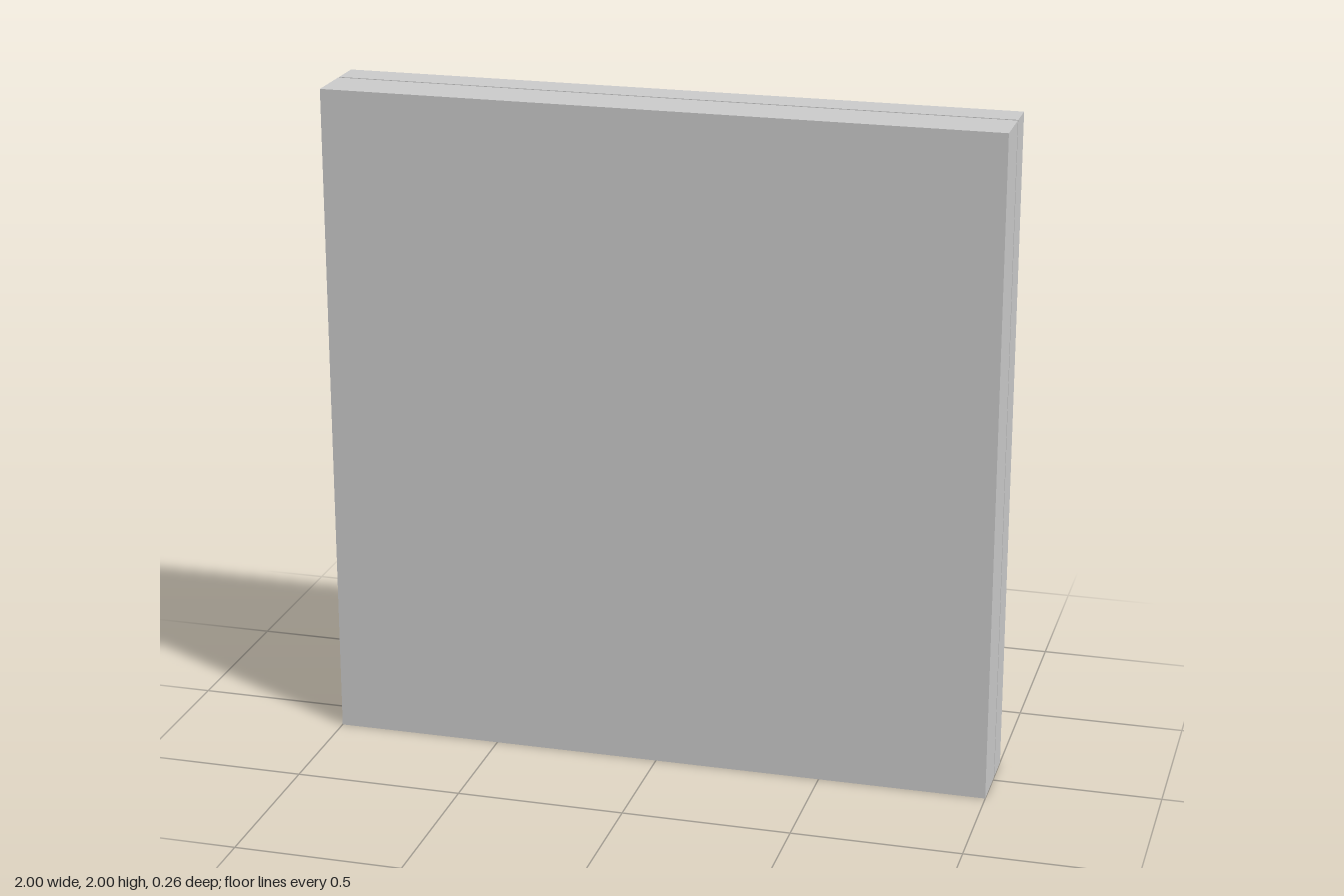
import * as THREE from 'three';

export function createModel() {
  const group = new THREE.Group();
  const material = new THREE.MeshStandardMaterial({ color: 0xcccccc, flatShading: true });

  const add = (name, geometry) => {
    const mesh = new THREE.Mesh(geometry, material);
    mesh.name = name;
    group.add(mesh);
  };

  // Box given by its extents on each axis
  const box = (name, x0, x1, y0, y1, z0, z1) => add(name,
    new THREE.BoxGeometry(x1 - x0, y1 - y0, z1 - z0)
      .translate((x0 + x1) / 2, (y0 + y1) / 2, (z0 + z1) / 2));

  // Square outline around (0, 1)
  const square = (path, h) => path.moveTo(-h, 1 - h).lineTo(h, 1 - h).lineTo(h, 1 + h).lineTo(-h, 1 + h).closePath();
  const outline = (PathType, h) => {
    const path = new PathType();
    square({
      moveTo(x, y) { path.moveTo(x, y); return this; },
      lineTo(x, y) { path.lineTo(x, y); return this; },
      closePath() { path.closePath(); return this; },
    }, h);
    return path;
  };

  // Solid front slab
  box('frontPanel', -1, 1, 0, 2, -0.019, 0.13);

  // Open square frame, a hair behind the slab
  const frame = outline(THREE.Shape, 1);
  frame.holes.push(outline(THREE.Path, 0.925));
  add('backFrame', new THREE.ExtrudeGeometry(frame, { depth: 0.1, bevelEnabled: false })
    .translate(0, 0, -0.127));

  // T-shaped brace inside the frame
  box('crossBar', -0.92, 0.92, 0.83, 1.17, -0.13, -0.045);
  box('uprightBar', -0.17, 0.17, 1.17, 1.92, -0.127, -0.045);

  return group;
}
